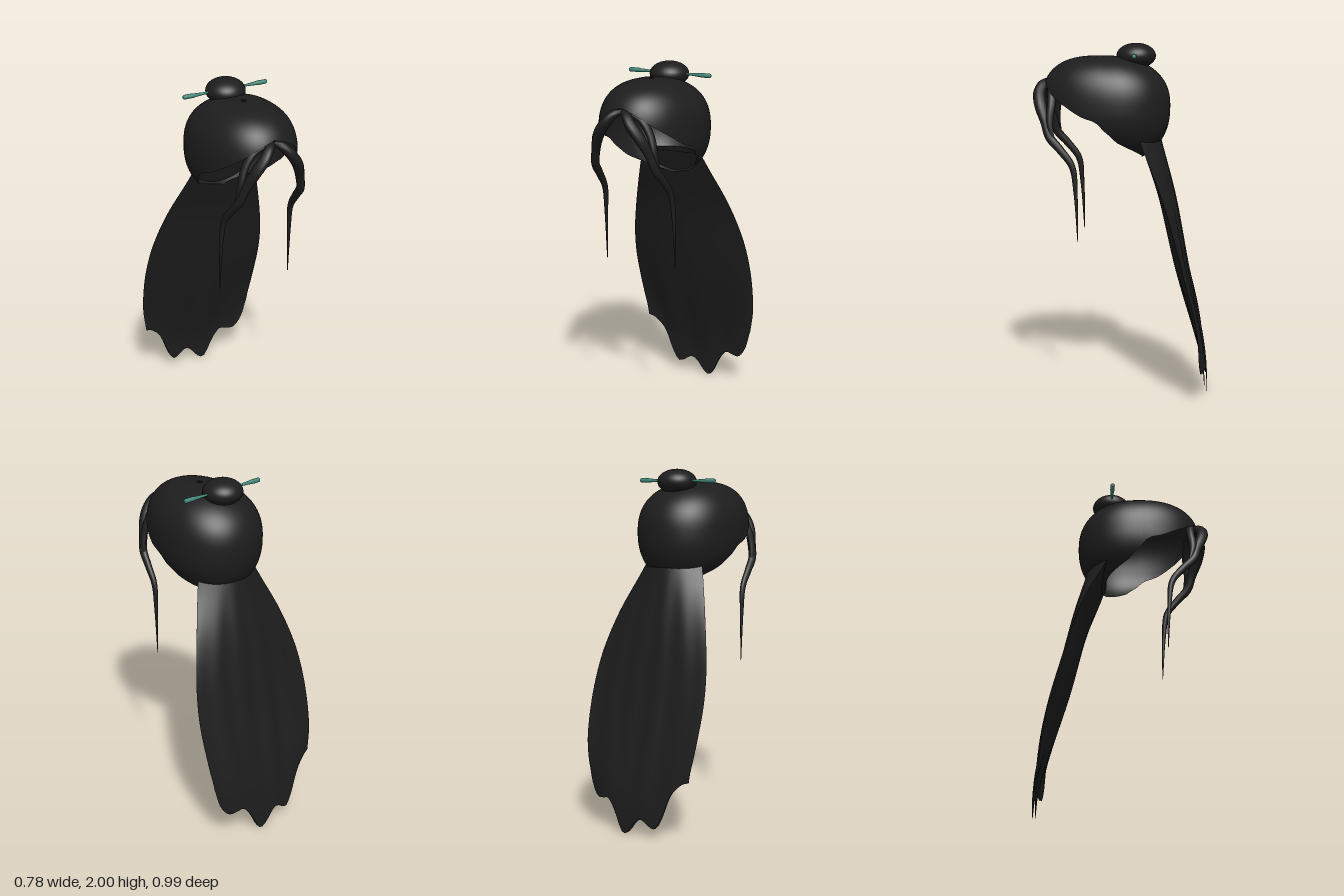
import * as THREE from 'three';
import { mergeVertices } from 'three/addons/utils/BufferGeometryUtils.js';

const V = (x, y, z) => new THREE.Vector3(x, y, z);

// Smooth surface over a grid: f(s, t) gives a point, s and t run 0..1
function surface(f, ns, nt) {
  const pos = [], index = [];
  for (let j = 0; j <= nt; j++)
    for (let i = 0; i <= ns; i++) pos.push(...f(i / ns, j / nt));
  for (let j = 0; j < nt; j++)
    for (let i = 0; i < ns; i++) {
      const a = j * (ns + 1) + i, b = a + 1, c = a + ns + 1, d = c + 1;
      index.push(a, b, c, b, d, c);
    }
  let g = new THREE.BufferGeometry();
  g.setAttribute('position', new THREE.Float32BufferAttribute(pos, 3));
  g.setIndex(index);
  g = mergeVertices(g, 1e-5);
  g.computeVertexNormals();
  return g;
}

// Piecewise smooth lookup through [key, value] pairs
function lookup(pairs, k) {
  if (k <= pairs[0][0]) return pairs[0][1];
  for (let i = 1; i < pairs.length; i++) {
    const [k0, v0] = pairs[i - 1], [k1, v1] = pairs[i];
    if (k <= k1) {
      const slope = (a, b) => (b[1] - a[1]) / (b[0] - a[0]);
      const m0 = i > 1 ? slope(pairs[i - 2], pairs[i]) : slope(pairs[i - 1], pairs[i]);
      const m1 = i < pairs.length - 1 ? slope(pairs[i - 1], pairs[i + 1]) : slope(pairs[i - 1], pairs[i]);
      const h = k1 - k0, t = (k - k0) / h, t2 = t * t, t3 = t2 * t;
      return (2 * t3 - 3 * t2 + 1) * v0 + (t3 - 2 * t2 + t) * h * m0
        + (3 * t2 - 2 * t3) * v1 + (t3 - t2) * h * m1;
    }
  }
  return pairs[pairs.length - 1][1];
}

const power = (v, p) => Math.sign(v) * Math.abs(v) ** p;

// Open cap: small hole at the crown, rim height varies from brow to nape
function capGeometry() {
  const cy = 1.65;
  const rim = [[0, 1.81], [0.1, 1.775], [0.285, 1.665], [0.378, 1.605], [0.444, 1.575],
    [0.485, 1.52], [0.56, 1.46], [0.8, 1.39], [1, 1.36]];
  return surface((s, t) => {
    const a = (s - 0.5) * 2 * Math.PI, c = Math.cos(a);
    const P = 2.35 + 0.35 * Math.max(0, c);
    const v = lookup(rim, Math.abs(a) / Math.PI) - cy;
    const drop = 0.262 + 0.07 * Math.max(0, -c);
    const start = Math.asin(0.048 ** (P / 2));
    const end = Math.acos(power(v / (v > 0 ? 0.28 : drop), P / 2));
    const phi = start + (end - start) * t;
    const h = power(Math.sin(phi), 2 / P), up = power(Math.cos(phi), 2 / P);
    return [0.28 * h * power(Math.sin(a), 0.95), cy + up * (up > 0 ? 0.28 : drop),
      0.05 + 0.065 * (1 - h) + (c > 0 ? 0.402 : 0.32) * h * power(c, 0.95)];
  }, 80, 40);
}

// Long flattened fall of hair with a lens section and a ragged, arched lower edge
function fallGeometry() {
  const width = [[0.1, 0.345], [0.34, 0.355], [0.5, 0.38], [0.7, 0.392], [0.85, 0.385],
    [1, 0.36], [1.2, 0.302], [1.4, 0.225], [1.5, 0.185]];
  const back = [[0, -0.493], [0.17, -0.473], [0.7, -0.378], [1.13, -0.305], [1.49, -0.215]];
  const edge = [[0, -0.487], [0.17, -0.465], [0.34, -0.435], [0.7, -0.355], [1, -0.285],
    [1.2, -0.22], [1.4, -0.135], [1.49, -0.1]];
  const front = [[0, -0.478], [0.17, -0.445], [0.33, -0.4], [0.7, -0.305], [1.13, -0.21],
    [1.37, -0.135], [1.49, -0.1]];
  const hem = [[-0.355, 0.34], [-0.31, 0.32], [-0.25, 0.25], [-0.2, 0.12], [-0.16, 0.06],
    [-0.13, 0.065], [-0.07, 0.1], [-0.03, 0.08], [0.02, 0.02], [0.06, 0.003], [0.09, 0.04],
    [0.13, 0.12], [0.18, 0.18], [0.22, 0.175], [0.28, 0.175], [0.33, 0.25], [0.355, 0.36]];
  return surface((s, t) => {
    const u = Math.cos(s * 2 * Math.PI), bulge = 1 - u * u, isBack = s < 0.5;
    const y = 1.49 + (lookup(hem, u * 0.355) - 1.49) * t;
    const rim = lookup(edge, y);
    const ripple = isBack ? 0.005 * Math.cos(u * 15) * bulge * Math.sin(t * Math.PI) : 0;
    const z = rim + (lookup(isBack ? back : front, y) - rim) * bulge + ripple;
    const hemZ = -0.487 + 0.05 * u * u + (isBack ? -0.008 : 0.008) * bulge;
    return [u * lookup(width, y), y, z + (hemZ - z) * t ** 5];
  }, 96, 40);
}

// Tapered strand along [x, y, z, radius] points
function strandGeometry(points, side) {
  const curve = new THREE.CatmullRomCurve3(points.map(([x, y, z]) => V(x * side, y, z)));
  const radii = points.map((p, i) => [i / (points.length - 1), p[3]]);
  return surface((s, t) => {
    const p = curve.getPoint(t), tan = curve.getTangent(t);
    const across = V(0, 0, 1).cross(tan).normalize();
    const out = tan.clone().cross(across);
    const r = lookup(radii, t), a = s * 2 * Math.PI;
    p.addScaledVector(across, Math.cos(a) * r * 0.85).addScaledVector(out, Math.sin(a) * r);
    return [p.x, p.y, p.z];
  }, 12, 48);
}

export function createModel() {
  const group = new THREE.Group();
  const hair = new THREE.MeshStandardMaterial({ color: 0x1d1d1d, side: THREE.DoubleSide });
  hair.name = 'black hair';
  const jade = new THREE.MeshStandardMaterial({ color: 0x43897a });
  jade.name = 'jade green';
  const add = (name, geometry, material) => {
    const mesh = new THREE.Mesh(geometry, material);
    mesh.name = name;
    group.add(mesh);
    return mesh;
  };

  add('hairCap', capGeometry(), hair);
  add('backHair', fallGeometry(), hair);

  // Bun on the crown
  const bun = add('bun', new THREE.SphereGeometry(0.11, 40, 24), hair);
  bun.scale.y = 0.64;
  bun.position.set(0, 1.93, -0.078);

  const longLock = [[0.005, 1.79, 0.41, 0.015], [0.04, 1.775, 0.437, 0.028], [0.08, 1.73, 0.457, 0.034],
    [0.13, 1.66, 0.446, 0.034], [0.168, 1.57, 0.415, 0.027], [0.19, 1.49, 0.39, 0.025],
    [0.203, 1.42, 0.33, 0.022], [0.212, 1.33, 0.265, 0.018], [0.218, 1.18, 0.246, 0.011],
    [0.222, 0.91, 0.235, 0.002]];
  const shortLock = [[0.02, 1.78, 0.4, 0.012], [0.1, 1.75, 0.385, 0.024], [0.155, 1.67, 0.383, 0.024],
    [0.185, 1.57, 0.39, 0.02], [0.205, 1.46, 0.365, 0.004]];
  const stick = [[0.001, 0], [0.005, 0], [0.006, 0.12], [0.0105, 0.19], [0.0125, 0.2],
    [0.0125, 0.255], [0.009, 0.26], [0.001, 0.26]].map(([r, h]) => new THREE.Vector2(r, h));

  // Mirrored face locks and hair stick halves
  for (const side of [1, -1]) {
    const label = side > 0 ? 'left' : 'right';
    add(label + 'LongLock', strandGeometry(longLock, side), hair);
    add(label + 'ShortLock', strandGeometry(shortLock, side), hair);
    const pin = add(label + 'HairStick', new THREE.LatheGeometry(stick, 12), jade);
    pin.rotation.z = -side * Math.PI / 2;
    pin.position.set(0, 1.935, -0.078);
  }
  return group;
}
